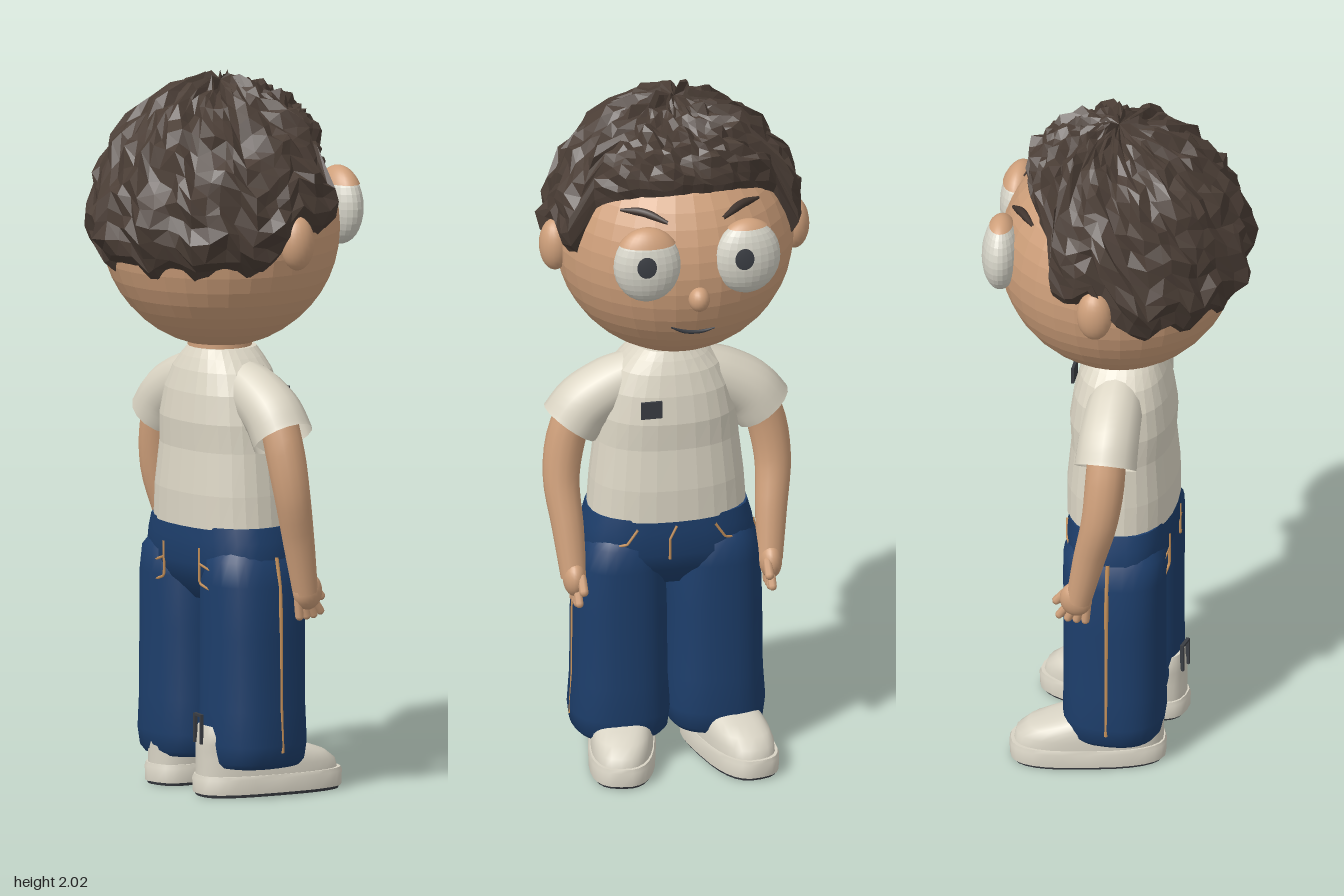
import * as THREE from 'three';
import { toCreasedNormals } from 'three/addons/utils/BufferGeometryUtils.js';

const V = (x, y, z) => new THREE.Vector3(x, y, z);
const HEAD = V(0, 1.58, -0.01), HEAD_R = 0.335;

function makeMaterials() {
  const colours = {
    skin: 0xcfa07b, hair: 0x4b3e36, shirt: 0xdbd5c4, denim: 0x1d3e6b, stitch: 0xc8935c,
    eyeWhite: 0xd6d4c8, shoe: 0xd8d3c4, dark: 0x3a3d43, eyebrow: 0x40342e,
  };
  const mats = {};
  for (const [name, color] of Object.entries(colours)) {
    mats[name] = new THREE.MeshStandardMaterial({ color });
    mats[name].name = name;
  }
  mats.shirt.side = mats.hair.side = THREE.DoubleSide;
  return mats;
}

function add(parent, name, geometry, material, x = 0, y = 0, z = 0) {
  const mesh = new THREE.Mesh(geometry, material);
  mesh.name = name;
  mesh.position.set(x, y, z);
  parent.add(mesh);
  return mesh;
}

const flat = (g) => {
  const f = g.index ? g.toNonIndexed() : g;
  f.computeVertexNormals();
  return f;
};
const ball = (rx, ry, rz, w = 20, h = 14) => new THREE.SphereGeometry(1, w, h).scale(rx, ry, rz);

// Closed stack of rounded sections, each [y, radiusX, radiusZ, centreZ]
function loft(sections, n = 2.2, sides = 28, crease = 0.7) {
  const pos = [], idx = [];
  const rnd = (c) => Math.sign(c) * Math.pow(Math.abs(c), 2 / n);
  for (const [y, rx, rz, cz = 0] of sections) {
    for (let j = 0; j < sides; j++) {
      const a = (j / sides) * Math.PI * 2;
      pos.push(rx * rnd(Math.cos(a)), y, cz + rz * rnd(Math.sin(a)));
    }
  }
  const last = sections.length - 1, c0 = pos.length / 3;
  pos.push(0, sections[0][0], sections[0][3] || 0, 0, sections[last][0], sections[last][3] || 0);
  for (let j = 0; j < sides; j++) {
    const k = (j + 1) % sides;
    for (let i = 0; i < last; i++) {
      const a = i * sides + j, b = i * sides + k;
      idx.push(a, a + sides, b, b, a + sides, b + sides);
    }
    idx.push(c0, j, k, c0 + 1, last * sides + k, last * sides + j);
  }
  const g = new THREE.BufferGeometry();
  g.setAttribute('position', new THREE.Float32BufferAttribute(pos, 3));
  g.setIndex(idx);
  return toCreasedNormals(g, crease);
}

// Tube whose radius is interpolated along the path
function limb(points, radii, sides = 14, seg = 14) {
  const curve = new THREE.CatmullRomCurve3(points);
  const g = new THREE.TubeGeometry(curve, seg, 1, sides);
  const p = g.attributes.position, v = V(0, 0, 0);
  for (let i = 0; i <= seg; i++) {
    const c = curve.getPointAt(i / seg), t = (i / seg) * (radii.length - 1);
    const k = Math.min(Math.floor(t), radii.length - 2);
    const r = THREE.MathUtils.lerp(radii[k], radii[k + 1], t - k);
    for (let j = 0; j <= sides; j++) {
      const q = i * (sides + 1) + j;
      v.fromBufferAttribute(p, q).sub(c).multiplyScalar(r).add(c);
      p.setXYZ(q, v.x, v.y, v.z);
    }
  }
  return g;
}

// Curly cap: a polar grid cut off at the hairline, with seeded bumps
function hairGeometry() {
  const line = [[0, 48], [35, 51], [50, 56], [60, 62], [67, 88], [78, 90], [86, 82], [98, 98], [115, 106], [180, 107]];
  const limit = (deg) => {
    const i = Math.max(1, line.findIndex((l) => l[0] >= deg));
    const [a, b] = [line[i - 1], line[i]];
    const t = THREE.MathUtils.mapLinear(deg, a[0], b[0], a[1], b[1]);
    return t + (deg > 100 ? 5 * Math.sin(deg * 0.24) : 0);
  };
  let seed = 7;
  const rand = () => (seed = (seed * 16807) % 2147483647) / 2147483647;
  const cols = 54, rows = 16, pos = [], idx = [];
  for (let i = 0; i <= rows; i++) {
    for (let j = 0; j < cols; j++) {
      const t = i / rows, deg = (j / cols) * 360 - 180;
      const edge = Math.min(1, (1 - t) / 0.2);
      const jitter = i > 0 && i < rows ? 1 : 0;
      const phi = THREE.MathUtils.degToRad(deg + jitter * (rand() - 0.5) * 4);
      const th = THREE.MathUtils.degToRad(limit(Math.abs(deg)) * (t + jitter * (rand() - 0.5) * 0.03));
      const bump = i ? (rand() - 0.5) * 0.034 + 0.009 * Math.sin(j * 1.4 + i * 0.9) : 0;
      const r = 0.328 + (0.045 + 0.044 * Math.pow(Math.max(0, Math.cos(th)), 3) + bump) * Math.sqrt(edge);
      pos.push(r * Math.sin(th) * Math.sin(phi), r * Math.cos(th), -r * Math.sin(th) * Math.cos(phi));
    }
  }
  for (let i = 0; i < rows; i++) {
    for (let j = 0; j < cols; j++) {
      const k = (j + 1) % cols, a = i * cols + j, b = i * cols + k;
      idx.push(a, b, a + cols, b, b + cols, a + cols);
    }
  }
  const g = new THREE.BufferGeometry();
  g.setAttribute('position', new THREE.Float32BufferAttribute(pos, 3));
  g.setIndex(idx);
  return flat(g);
}

function buildHead(m) {
  const head = new THREE.Group();
  head.name = 'head';
  add(head, 'skull', flat(ball(HEAD_R, HEAD_R, HEAD_R, 32, 22)), m.skin, ...HEAD);
  add(head, 'hair', hairGeometry(), m.hair, ...HEAD);
  add(head, 'nose', ball(0.03, 0.036, 0.034), m.skin, 0, 1.52, -0.342);
  const onHead = (x, y, z) => V(x, y, z).sub(HEAD).setLength(HEAD_R + 0.001).add(HEAD);
  for (const s of [-1, 1]) {
    add(head, 'ear', ball(0.044, 0.076, 0.05), m.skin, s * 0.341, 1.578, -0.015);
    // Eyes, with uneven lids and pupils
    const eye = new THREE.Group();
    eye.name = 'eye';
    eye.position.set(s * 0.143, 1.627, -0.318);
    eye.rotation.y = -s * 0.08;
    head.add(eye);
    add(eye, 'eyeball', flat(ball(0.095, 0.108, 0.054, 24, 16)), m.eyeWhite);
    const lid = new THREE.SphereGeometry(1, 24, 8, 0, Math.PI * 2, 0, s > 0 ? 0.95 : 0.62);
    add(eye, 'eyelid', lid.scale(0.098, 0.114, 0.057), m.skin);
    const pupil = new THREE.SphereGeometry(1, 18, 4, 0, Math.PI * 2, 0, 0.29);
    pupil.rotateX(0.14 - Math.PI / 2).rotateY(s > 0 ? -0.08 : -0.25).scale(0.097, 0.111, 0.0555);
    add(eye, 'pupil', pupil, m.dark);
    const brow = [[0.08, 1.742, -0.3], [0.14, 1.763, -0.262], [0.2, 1.76, -0.22]];
    add(head, 'eyebrow', limb(brow.map(([x, y, z]) => onHead(s * x, y, z)), [0.005, 0.012, 0.012, 0.004], 8), m.eyebrow);
  }
  const smile = [[0.072, 1.418, -0.3], [0.03, 1.398, -0.3], [-0.02, 1.393, -0.3], [-0.058, 1.4, -0.3]];
  add(head, 'mouth', limb(smile.map((p) => onHead(...p)), [0.002, 0.006, 0.006, 0.002], 8), m.dark);
  return head;
}

function buildArm(s, m) {
  const arm = new THREE.Group();
  arm.name = s > 0 ? 'leftArm' : 'rightArm';
  add(arm, 'sleeve', limb([V(s * 0.07, 1.165, 0), V(s * 0.16, 1.125, 0), V(s * 0.235, 1.075, 0), V(s * 0.275, 1.02, 0)],
    [0.065, 0.08, 0.085, 0.088], 16), m.shirt);
  add(arm, 'forearm', limb([V(s * 0.25, 1.08, 0), V(s * 0.285, 0.98, 0), V(s * 0.302, 0.86, -0.012),
    V(s * 0.29, 0.72, -0.045), V(s * 0.28, 0.58, -0.075)], [0.055, 0.056, 0.05, 0.044, 0.036]), m.skin);
  add(arm, 'palm', ball(0.032, 0.052, 0.046), m.skin, s * 0.28, 0.58, -0.083);
  for (let i = 0; i < 4; i++) {
    const finger = add(arm, 'finger', new THREE.CapsuleGeometry(0.012, 0.045, 3, 8), m.skin,
      s * 0.276, 0.533 + (i === 3 ? 0.006 : 0), -0.055 - i * 0.021);
    finger.rotation.x = 0.1 + i * 0.17;
  }
  const thumb = add(arm, 'thumb', new THREE.CapsuleGeometry(0.013, 0.04, 3, 8), m.skin, s * 0.265, 0.575, -0.128);
  thumb.rotation.x = 0.7;
  return arm;
}

function buildTrousers(m) {
  const g = new THREE.Group();
  g.name = 'trousers';
  const RX = 0.25, RZ = 0.146, N = 2.8;
  add(g, 'hips', loft([[0.54, 0.18, 0.08], [0.6, 0.235, 0.13], [0.65, 0.25, RZ], [0.72, 0.238, RZ], [0.762, 0.226, 0.143]], N), m.denim);
  // Stitching follows the hip surface, front or back
  const line = (name, pts, side) => {
    const path = pts.map(([x, y]) => V(x, y, side * RZ * Math.pow(1 - Math.pow(Math.abs(x) / RX, N), 1 / N)));
    add(g, name, new THREE.TubeGeometry(new THREE.CatmullRomCurve3(path, false, 'catmullrom', 0.05), 20, 0.004, 5), m.stitch);
  };
  for (const s of [-1, 1]) {
    add(g, 'leg', loft([[0.085, 0.122, 0.125], [0.1, 0.135, 0.136], [0.15, 0.141, 0.143], [0.25, 0.134, 0.141],
      [0.45, 0.132, 0.141], [0.6, 0.127, 0.143], [0.67, 0.112, 0.142], [0.7, 0.09, 0.12]], 2.5, 28, 0.9), m.denim, s * 0.136);
    add(g, 'sideSeam', limb([V(s * 0.273, 0.13, 0), V(s * 0.267, 0.25, 0), V(s * 0.266, 0.45, 0), V(s * 0.262, 0.59, 0), V(s * 0.246, 0.68, 0)],
      [0.006, 0.006], 6), m.stitch);
    line('backPocketStitch', [[0.08, 0.7], [0.08, 0.6], [0.14, 0.58], [0.2, 0.61]].map(([x, y]) => [s * x, y]), 1);
    line('backPocketFlap', [[0.08, 0.655], [0.14, 0.635], [0.2, 0.67]].map(([x, y]) => [s * x, y]), 1);
    line('frontPocketStitch', [[0.11, 0.735], [0.14, 0.69], [0.21, 0.67]].map(([x, y]) => [s * x, y]), -1);
  }
  line('flyStitch', [[0, 0.74], [0.02, 0.7], [0.02, 0.64]], -1);
  return g;
}

function buildShoe(s, m) {
  const shoe = new THREE.Group();
  shoe.name = s > 0 ? 'leftShoe' : 'rightShoe';
  add(shoe, 'tread', loft([[0, 0.088, 0.21, -0.06], [0.009, 0.09, 0.213, -0.06]], 2.8), m.dark);
  add(shoe, 'sole', loft([[0.009, 0.094, 0.218, -0.06], [0.05, 0.095, 0.22, -0.06], [0.06, 0.091, 0.216, -0.06]], 2.8), m.shoe);
  add(shoe, 'upper', loft([[0.055, 0.088, 0.21, -0.058], [0.085, 0.088, 0.206, -0.054], [0.11, 0.085, 0.19, -0.038],
    [0.13, 0.08, 0.163, -0.011], [0.15, 0.077, 0.128, 0.024], [0.175, 0.073, 0.1, 0.05], [0.2, 0.06, 0.085, 0.06]], 2.6, 28, 0.9), m.shoe);
  if (s > 0) {
    for (const x of [-0.02, 0.02]) add(shoe, 'heelLoop', new THREE.BoxGeometry(0.007, 0.08, 0.01), m.dark, x, 0.19, 0.152);
    add(shoe, 'heelLoopTop', new THREE.BoxGeometry(0.047, 0.007, 0.01), m.dark, 0, 0.23, 0.152);
  }
  shoe.rotation.y = -s * 0.22;
  shoe.position.set(s > 0 ? 0.144 : -0.132, 0, s > 0 ? 0.007 : -0.012);
  return shoe;
}

export function createModel() {
  const m = makeMaterials();
  const model = new THREE.Group();
  model.name = 'standingFigure';
  model.add(buildHead(m));

  const body = new THREE.Group();
  body.name = 'body';
  body.position.x = 0.02;
  model.add(body);
  add(body, 'neck', new THREE.CylinderGeometry(0.088, 0.092, 0.12, 20), m.skin, -0.01, 1.25, 0);
  add(body, 'shirtTorso', flat(loft([[0.755, 0.224, 0.153], [0.85, 0.217, 0.153], [0.97, 0.203, 0.142], [1.05, 0.197, 0.147],
    [1.13, 0.18, 0.136], [1.19, 0.15, 0.12], [1.225, 0.118, 0.105], [1.25, 0.092, 0.092]], 2.3)), m.shirt);
  add(body, 'chestBadge', new THREE.BoxGeometry(0.06, 0.05, 0.008), m.dark, 0.075, 1.105, -0.155);
  for (const s of [-1, 1]) body.add(buildArm(s, m));
  body.add(buildTrousers(m));
  for (const s of [-1, 1]) model.add(buildShoe(s, m));
  return model;
}
